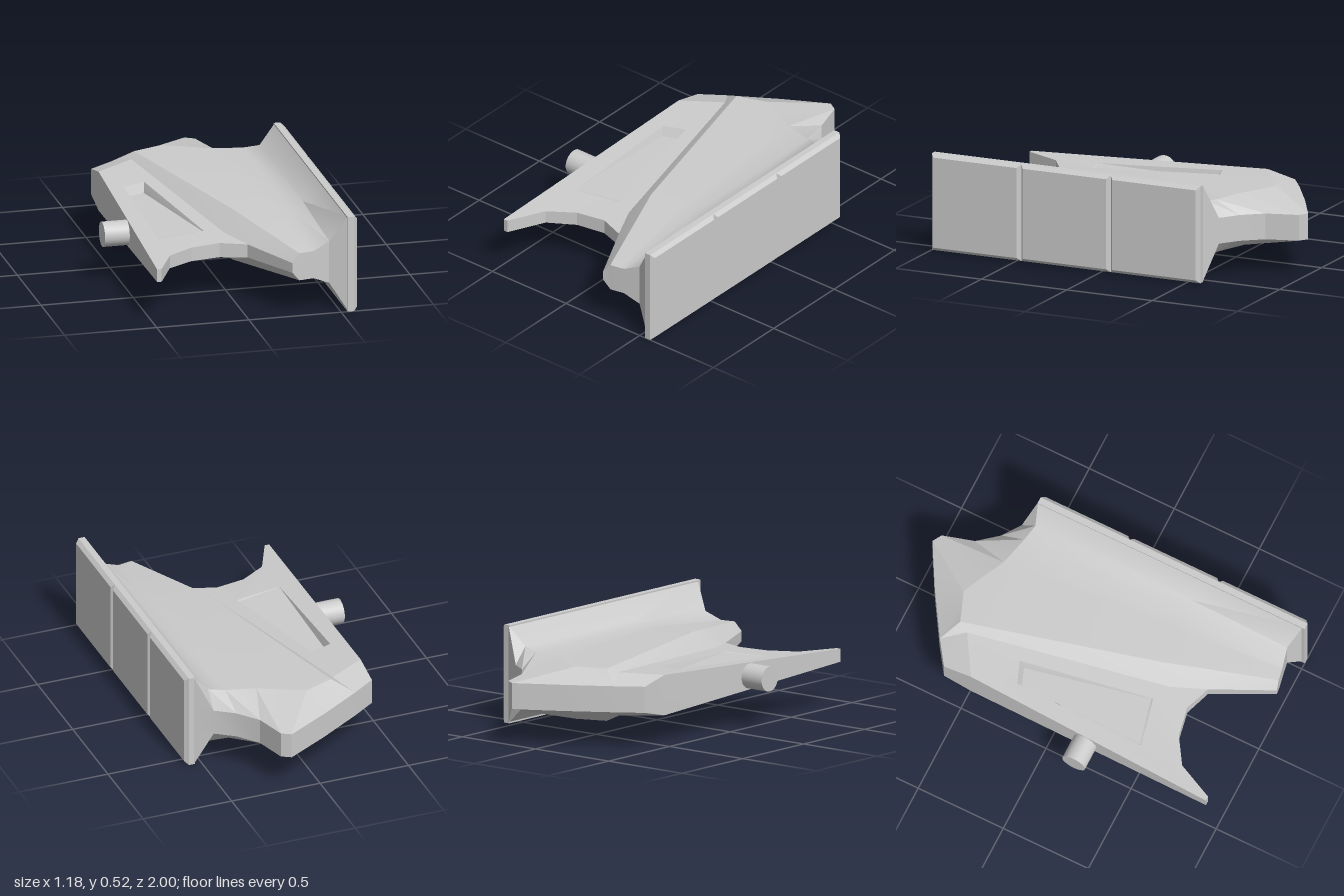
import * as THREE from 'three';
import { toCreasedNormals } from 'three/addons/utils/BufferGeometryUtils.js';

const MID = 0.2625; // height of the symmetry plane
const grey = new THREE.MeshStandardMaterial({ color: 0xcccccc });

// Half thickness of the sloping thin panel
const slope = (z) => 0.035 + 0.075 * Math.max(0, (0.68 - z) / 1.18);
// Point on that panel, written as [x, height, z]
const onPanel = ([x, z]) => [x, slope(z), z];

// Surface through rows of points [x, y, z]; rows run along +z, columns along +x
function grid(rows) {
  const pos = [];
  for (let i = 0; i < rows.length - 1; i++) {
    for (let j = 0; j < rows[i].length - 1; j++) {
      const a = rows[i][j], b = rows[i + 1][j], c = rows[i + 1][j + 1], d = rows[i][j + 1];
      pos.push(...a, ...b, ...c, ...a, ...c, ...d);
    }
  }
  const g = new THREE.BufferGeometry();
  g.setAttribute('position', new THREE.Float32BufferAttribute(pos, 3));
  return g;
}

// Copy of a non-indexed geometry reflected in y, with the winding turned round
function mirrorY(geo) {
  const p = geo.attributes.position, pos = [];
  for (let i = 0; i < p.count; i += 3) {
    for (const k of [i, i + 2, i + 1]) pos.push(p.getX(k), -p.getY(k), p.getZ(k));
  }
  const g = new THREE.BufferGeometry();
  g.setAttribute('position', new THREE.Float32BufferAttribute(pos, 3));
  return g;
}

export function createModel() {
  const model = new THREE.Group();

  function add(name, geo, crease = 0.3) {
    const mesh = new THREE.Mesh(toCreasedNormals(geo, crease), grey);
    mesh.name = name;
    mesh.position.y = MID;
    model.add(mesh);
  }
  function addBoth(name, geo, crease) {
    add(name + 'Top', geo, crease);
    add(name + 'Bottom', mirrorY(geo), crease);
  }

  // Outline pieces as [x, z]
  const panelFront = [[-0.48, 0.93], [-0.455, 0.93], [-0.36, 0.73], [-0.22, 0.64], [-0.06, 0.61], [0.08, 0.66]];
  const panelBack = [[-0.23, -0.6], [-0.44, -0.47]];
  const slot = [[-0.36, 0.49], [-0.36, -0.24], [-0.24, -0.285], [-0.1, 0.43]];

  // Thin panel with a wedge-shaped slot
  const toShape = ([x, z]) => new THREE.Vector2(x, -z);
  const shape = new THREE.Shape([...panelFront, ...panelBack].map(toShape));
  shape.holes.push(new THREE.Path(slot.map(toShape)));
  const panel = new THREE.ShapeGeometry(shape).rotateX(-Math.PI / 2).toNonIndexed();
  const pp = panel.attributes.position;
  for (let i = 0; i < pp.count; i++) pp.setY(i, slope(pp.getZ(i)));
  addBoth('thinPanel', panel);

  // Slot walls and floor
  const rim = slot.map(onPanel);
  const floor = [[-0.355, 0.046, 0.48], [-0.345, 0.046, -0.22], [-0.25, 0.046, -0.255], [-0.105, 0.046, 0.42]];
  addBoth('slotWall', grid([[...rim, rim[0]], [...floor, floor[0]]]));
  addBoth('slotFloor', grid([[floor[1], floor[2]], [floor[0], floor[3]]]));

  // Bevel at the back of the thin panel
  const corner = [-0.31, 0.07, -0.72], backLeft = [-0.44, 0.07, -0.63];
  addBoth('thinPanelBevel', grid([[backLeft, corner], [onPanel(panelBack[1]), onPanel(panelBack[0])]]));

  // Slanted step between the thin panel and the thick deck
  const nose = [0.24, 0.027, 0.985];
  addBoth('step', grid([
    [corner, corner],
    [onPanel([-0.23, -0.6]), [-0.2, 0.14, -0.655]],
    [onPanel([0, 0.48]), [0.07, 0.14, 0.38]],
    [onPanel([0.08, 0.66]), [0.155, 0.114, 0.62]],
    [nose, [0.28, 0.075, 0.975]],
  ]));

  // Thick deck flaring out into the plate
  const backEdge = [corner, [-0.07, 0.07, -0.87], [0.16, 0.07, -1], [0.21, 0.07, -0.97],
    [0.26, 0.07, -0.8], [0.35, 0.07, -0.69], [0.45, 0.07, -0.62], [0.54, 0.07, -0.57]];
  const bevelLine = [[-0.2, 0.14, -0.655], [-0.12, 0.14, -0.685], [-0.04, 0.14, -0.715], [0.05, 0.14, -0.675],
    [0.2, 0.14, -0.6], [0.36, 0.143, -0.56], [0.45, 0.157, -0.54], [0.54, 0.26, -0.57]];
  const deckMid = [0.07, 0.12, 0.17, 0.22, 0.28, 0.36, 0.45, 0.54]
    .map((x) => [x, x > 0.5 ? 0.26 : x > 0.4 ? 0.152 : 0.14, 0.38]);
  const deckFront = [[0.28, 0.075, 0.975], [0.295, 0.075, 0.973], [0.31, 0.075, 0.97], [0.325, 0.075, 0.967],
    [0.34, 0.075, 0.964], [0.36, 0.075, 0.96], [0.45, 0.115, 0.94], [0.54, 0.26, 0.985]];
  addBoth('deckBevel', grid([backEdge, bevelLine]));
  addBoth('deck', grid([bevelLine, deckMid, deckFront]), 0.85);

  // Upright wall around the whole body
  const outline = [...[...backEdge].reverse(), backLeft, onPanel(panelBack[1]),
    ...panelFront.map(onPanel), nose, ...deckFront];
  add('edgeWall', grid([outline, outline.map(([x, y, z]) => [x, -y, z])]));

  // Side plate: a backing with three bevelled pads
  const backing = new THREE.BoxGeometry(0.035, 0.525, 1.57).translate(0.5525, 0, 0.215);
  add('plateBacking', backing.toNonIndexed());
  const padLength = 1.57 / 3, bevel = 0.018;
  for (let n = 0; n < 3; n++) {
    const pad = new THREE.BoxGeometry(0.02, 0.525, padLength);
    const p = pad.attributes.position;
    for (let i = 0; i < p.count; i++) {
      if (p.getX(i) < 0) continue;
      p.setY(i, p.getY(i) - Math.sign(p.getY(i)) * bevel);
      p.setZ(i, p.getZ(i) - Math.sign(p.getZ(i)) * bevel);
    }
    pad.translate(0.58, 0, -0.57 + padLength * (n + 0.5));
    add('platePad' + (n + 1), pad.toNonIndexed());
  }

  // Round peg on the thin edge
  const peg = new THREE.CylinderGeometry(0.067, 0.067, 0.15, 32).rotateZ(Math.PI / 2).translate(-0.52, 0, 0.21);
  add('peg', peg.toNonIndexed(), 0.6);

  return model;
}
